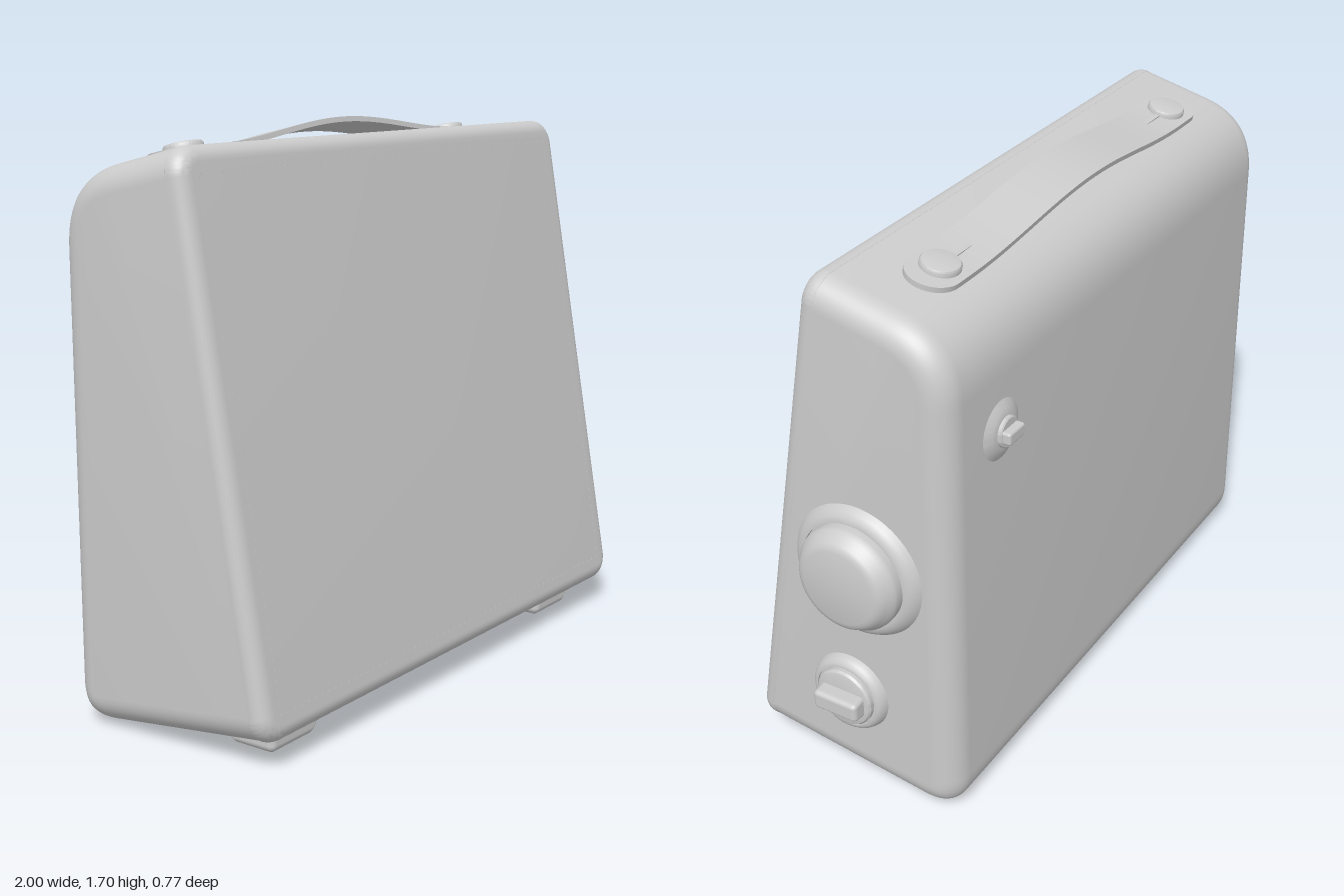
import * as THREE from 'three';
import { toCreasedNormals, mergeGeometries } from 'three/addons/utils/BufferGeometryUtils.js';
import { RoundedBoxGeometry } from 'three/addons/geometries/RoundedBoxGeometry.js';

const MID_X = -0.05, WIDTH = 1.9, EDGE = 0.08;
const TILT = 0.174, SEAM_Y = 0.8675, SEAM_Z = 0.1985; // leaning front plane

const material = new THREE.MeshStandardMaterial({ color: 0xcccccc });

function mesh(name, geometry, parent, x = 0, y = 0, z = 0) {
  const m = new THREE.Mesh(geometry, material);
  m.name = name;
  m.position.set(x, y, z);
  parent.add(m);
  return m;
}

// Move every vertex by a rule
function bend(geometry, rule) {
  const p = geometry.attributes.position, v = new THREE.Vector3();
  for (let i = 0; i < p.count; i++) {
    rule(v.fromBufferAttribute(p, i));
    p.setXYZ(i, v.x, v.y, v.z);
  }
  return geometry;
}

function roundedRect(w, h, r) {
  const s = new THREE.Shape(), x = w / 2 - r, y = h / 2 - r;
  s.absarc(x, y, r, 0, Math.PI / 2);
  s.absarc(-x, y, r, Math.PI / 2, Math.PI);
  s.absarc(-x, -y, r, Math.PI, Math.PI * 1.5);
  s.absarc(x, -y, r, Math.PI * 1.5, Math.PI * 2);
  return s;
}

function lathe(points) {
  const g = new THREE.LatheGeometry(points.map(([r, y]) => new THREE.Vector2(r, y)), 64);
  return toCreasedNormals(g, 0.6);
}

// Side profile extruded across the width, cut flat at the leaning front plane
function bodyGeometry() {
  const s = new THREE.Shape();
  s.moveTo(-0.437, 0.099);
  s.lineTo(0.205, 0.014);
  s.quadraticCurveTo(0.333, -0.003, 0.333, 0.125);
  s.lineTo(0.333, 1.37);
  s.quadraticCurveTo(0.333, 1.564, 0.15, 1.604);
  s.lineTo(-0.16, 1.672);
  s.closePath();
  const g = new THREE.ExtrudeGeometry(s, {
    depth: WIDTH - 2 * EDGE, curveSegments: 16, bevelSegments: 10,
    bevelThickness: EDGE, bevelSize: EDGE, bevelOffset: -EDGE,
  });
  g.translate(0, 0, EDGE - WIDTH / 2);
  g.rotateY(Math.PI / 2);
  const ny = Math.sin(TILT), nz = Math.cos(TILT);
  bend(g, (v) => {
    const d = (v.z - SEAM_Z) * nz + (v.y - SEAM_Y) * ny;
    if (d > 0) { v.y -= d * ny; v.z -= d * nz; }
  });
  return toCreasedNormals(g, 0.5);
}

// Front panel: soft front edge, nearly square back edge at the seam
function panelGeometry() {
  const b = 0.045;
  const g = new THREE.ExtrudeGeometry(roundedRect(WIDTH, 1.6, EDGE), {
    depth: 0.007, curveSegments: 10, bevelSegments: 8,
    bevelThickness: b, bevelSize: b, bevelOffset: -b,
  });
  bend(g, (v) => { if (v.z < 0) v.z *= 0.15; });
  return toCreasedNormals(g, 0.5);
}

// Row of tiny dots around the panel
function stitchGeometry() {
  const dots = [], hx = 0.875, hy = 0.725, step = 0.03;
  const dot = (x, y) => dots.push(new THREE.BoxGeometry(0.006, 0.006, 0.003).translate(x, y, 0.052));
  for (let x = -hx; x <= hx; x += step) [-hy, hy].forEach((y) => dot(x, y));
  for (let y = -hy + step; y < hy; y += step) [-hx, hx].forEach((x) => dot(x, y));
  return mergeGeometries(dots);
}

// Strap with round ends that arches up in the middle
function strapGeometry() {
  const half = 0.765, hw = 0.08;
  const g = new THREE.BoxGeometry(2, 0.016, 2, 80, 1, 2);
  bend(g, (v) => {
    const x = half * Math.sin(v.x * Math.PI / 2);
    const end = Math.max(0, Math.abs(x) - (half - hw)) / hw;
    const t = Math.min(1, Math.abs(x) / 0.62);
    v.x = x;
    v.z *= hw * Math.sqrt(Math.max(0, 1 - end * end));
    v.y += 0.055 * Math.cos(t * Math.PI / 2) ** 2;
  });
  return toCreasedNormals(g, 0.5);
}

export function createModel() {
  const model = new THREE.Group();
  model.name = 'portableSpeaker';

  mesh('body', bodyGeometry(), model, MID_X);

  const front = new THREE.Group();
  front.name = 'frontPanel';
  front.position.set(MID_X, SEAM_Y, SEAM_Z);
  front.rotation.x = -TILT;
  model.add(front);
  mesh('panel', panelGeometry(), front);
  mesh('stitching', stitchGeometry(), front);

  // Carrying strap, buttons and slots, parallel to the sloping top
  const handle = new THREE.Group();
  handle.name = 'handle';
  handle.position.set(MID_X, 1.612, -0.125);
  handle.rotation.x = -0.22;
  model.add(handle);
  mesh('strap', strapGeometry(), handle, 0, 0.008, 0);
  const button = lathe([[0.058, 0], [0.058, 0.02], [0.054, 0.026], [0.046, 0.028], [0, 0.028]]);
  for (const side of [-1, 1]) {
    mesh('strapButton', button, handle, side * 0.655, 0.008, 0);
    mesh('strapSlot', new THREE.BoxGeometry(0.1, 0.005, 0.014), handle, side * 0.56, 0.0185, 0);
  }

  // Large dial on the left side
  const dial = new THREE.Group();
  dial.name = 'largeDial';
  dial.position.set(0.9, 0.795, -0.03);
  dial.rotation.z = -Math.PI / 2;
  model.add(dial);
  mesh('dialCollar', lathe([[0.215, -0.01], [0.208, 0.004], [0.198, 0.018], [0.186, 0.028],
    [0.172, 0.033], [0.168, 0.033], [0.168, 0.022], [0, 0.022]]), dial);
  mesh('dialKnob', lathe([[0.162, 0.02], [0.163, 0.046], [0.161, 0.056], [0.154, 0.066], [0.146, 0.078],
    [0.138, 0.089], [0.128, 0.096], [0.115, 0.1], [0, 0.1]]), dial);

  // Small turn switch below the dial
  const turn = new THREE.Group();
  turn.name = 'turnSwitch';
  turn.position.set(0.9, 0.345, 0.02);
  turn.rotation.z = -Math.PI / 2;
  model.add(turn);
  mesh('switchCollar', lathe([[0.13, -0.01], [0.126, 0.006], [0.12, 0.02], [0.112, 0.029],
    [0.102, 0.032], [0.1, 0.032], [0.1, 0.025], [0, 0.025]]), turn);
  mesh('switchDisc', lathe([[0.094, 0.02], [0.094, 0.038], [0.089, 0.045], [0.08, 0.048], [0, 0.048]]), turn);
  const grip = bend(new RoundedBoxGeometry(0.075, 0.06, 0.15, 4, 0.015), (v) => { v.x *= 0.88 - v.y * 4; });
  mesh('switchGrip', grip, turn, 0, 0.062, 0);

  // Toggle on the back
  const toggle = new THREE.Group();
  toggle.name = 'backToggle';
  toggle.position.set(0.64, 1.21, -0.333);
  toggle.rotation.x = -Math.PI / 2;
  model.add(toggle);
  mesh('toggleCollar', lathe([[0.095, -0.003], [0.08, 0.005], [0.065, 0.013], [0.052, 0.017], [0, 0.017]]), toggle);
  mesh('toggleDisc', lathe([[0.046, 0.01], [0.046, 0.026], [0.042, 0.029], [0, 0.029]]), toggle);
  mesh('toggleGrip', new RoundedBoxGeometry(0.08, 0.04, 0.038, 3, 0.008), toggle, 0, 0.034, 0);

  // Two tapered feet under the front edge
  const foot = bend(new RoundedBoxGeometry(0.24, 0.11, 0.19, 4, 0.025), (v) => {
    const k = 0.92 + v.y * 2.2;
    v.x *= k;
    v.z *= k;
  });
  for (const side of [-1, 1]) mesh('foot', foot, model, MID_X + side * 0.71, 0.055, 0.21);

  return model;
}
